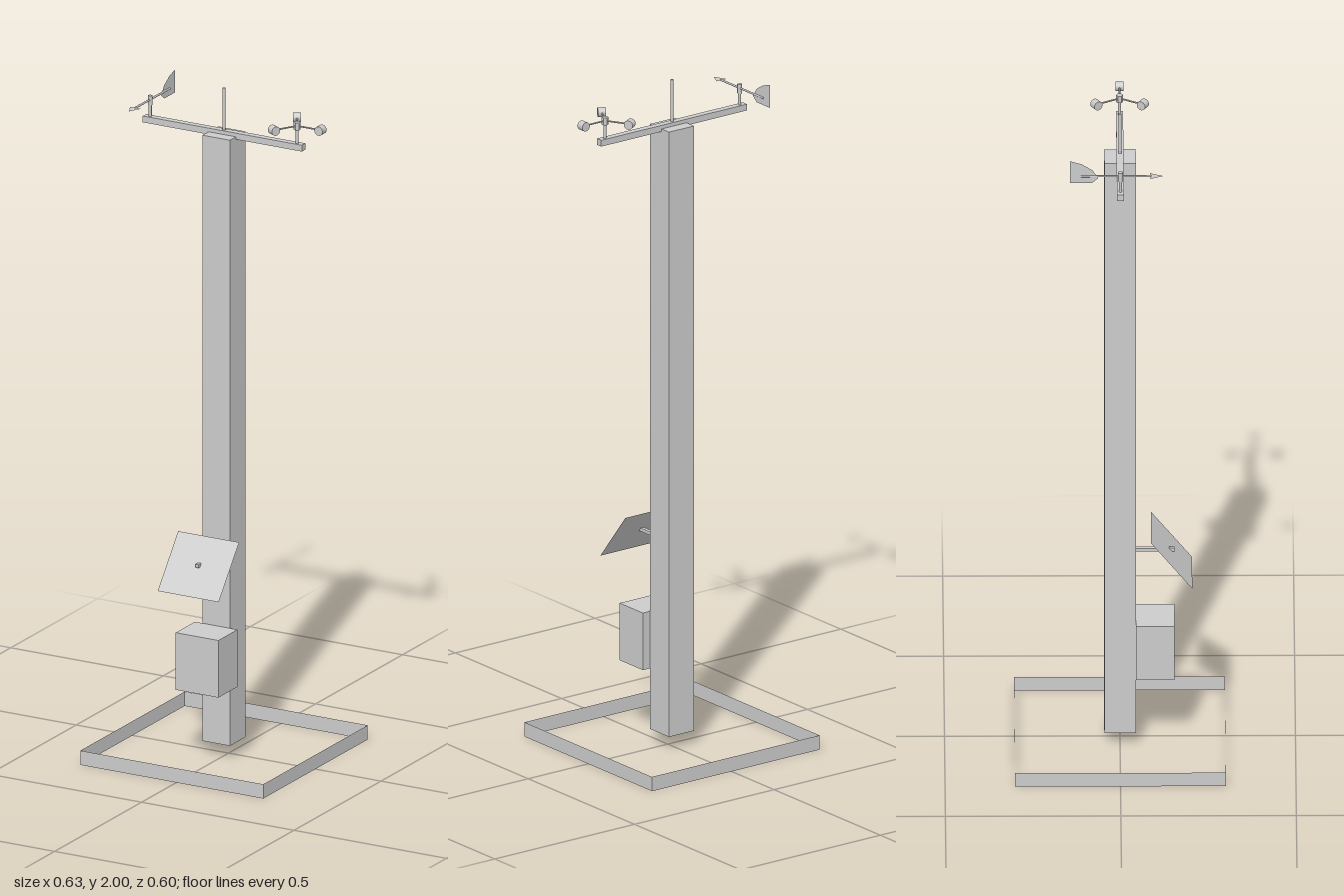
import * as THREE from 'three';

export function createModel() {
  const model = new THREE.Group();
  const grey = new THREE.MeshStandardMaterial({ color: 0xcccccc, flatShading: true });
  const smooth = new THREE.MeshStandardMaterial({ color: 0xcccccc });
  const sheet = new THREE.MeshStandardMaterial({ color: 0xcccccc, side: THREE.DoubleSide });

  function add(name, geometry, x, y, z, material = grey, parent = model) {
    const mesh = new THREE.Mesh(geometry, material);
    mesh.name = name;
    mesh.position.set(x, y, z);
    parent.add(mesh);
    return mesh;
  }
  const box = (w, h, d) => new THREE.BoxGeometry(w, h, d);
  const rod = (r, h, sides = 8) => new THREE.CylinderGeometry(r, r, h, sides);
  const outline = (points) =>
    new THREE.ShapeGeometry(new THREE.Shape(points.map(([a, b]) => new THREE.Vector2(a, b))));

  const axisX = -0.015; // mast centre line

  // Open square base made of four thin upright walls
  const base = new THREE.Group();
  base.name = 'baseFrame';
  base.position.set(axisX, 0.0215, 0);
  model.add(base);
  for (let i = 0; i < 4; i++) {
    const a = (i * Math.PI) / 2;
    const wall = add('baseWall', new THREE.PlaneGeometry(0.6, 0.043),
      0.3 * Math.sin(a), 0, 0.3 * Math.cos(a), sheet, base);
    wall.rotation.y = a;
  }

  // Mast, crossbar and lightning rod
  add('mast', box(0.09, 1.823, 0.09), axisX, 0.9515, 0);
  add('crossbar', box(0.522, 0.019, 0.02), axisX, 1.8645, 0);
  add('lightningRod', rod(0.0045, 0.13, 12), axisX, 1.935, 0, smooth);

  // Equipment box on the mast
  add('equipmentBox', box(0.14, 0.172, 0.11), axisX, 0.308, 0.1);

  // Tilted panel on a short arm
  add('panelArm', box(0.011, 0.01, 0.11), axisX, 0.606, 0.1);
  const panel = add('solarPanel', new THREE.PlaneGeometry(0.2, 0.187), axisX, 0.602, 0.147, sheet);
  panel.rotation.x = -Math.atan2(0.117, 0.145);

  // Wind vane: post, hub, shaft, flat arrowhead and upright tail fin
  const vane = new THREE.Group();
  vane.name = 'windVane';
  vane.position.set(-0.257, 0, 0);
  model.add(vane);
  add('vanePost', rod(0.0045, 0.05), 0, 1.895, 0, smooth, vane);
  add('vaneHub', rod(0.007, 0.028), 0, 1.922, 0, smooth, vane);
  add('vaneShaft', rod(0.003, 0.2), 0, 1.924, -0.012, smooth, vane).rotation.x = Math.PI / 2;
  const head = add('vaneArrowhead', outline([[-0.018, 0.085], [0.018, 0.085], [0, 0.122]]),
    0, 1.924, 0, sheet, vane);
  head.rotation.x = Math.PI / 2;
  const fin = add('vaneTailFin', outline([
    [0.063, 1.918], [0.08, 1.903], [0.143, 1.903], [0.143, 1.972], [0.11, 1.962], [0.08, 1.943],
  ]), 0, 0, 0, sheet, vane);
  fin.rotation.y = Math.PI / 2;

  // Anemometer: post, hub and three arms with tangential cups
  const rotor = new THREE.Group();
  rotor.name = 'anemometer';
  rotor.position.set(0.225, 1.926, 0);
  model.add(rotor);
  add('rotorPost', rod(0.0045, 0.055), 0, -0.0285, 0, smooth, rotor);
  add('rotorHub', rod(0.01, 0.022, 6), 0, 0, 0, grey, rotor);
  for (let i = 0; i < 3; i++) {
    const spoke = new THREE.Group();
    spoke.name = 'cupArm';
    spoke.rotation.y = (i * 2 * Math.PI) / 3;
    rotor.add(spoke);
    add('arm', rod(0.0025, 0.065), 0.034, 0, 0, smooth, spoke).rotation.z = Math.PI / 2;
    add('cup', rod(0.0135, 0.023, 20), 0.0765, 0, 0, smooth, spoke).rotation.x = Math.PI / 2;
  }
  return model;
}
